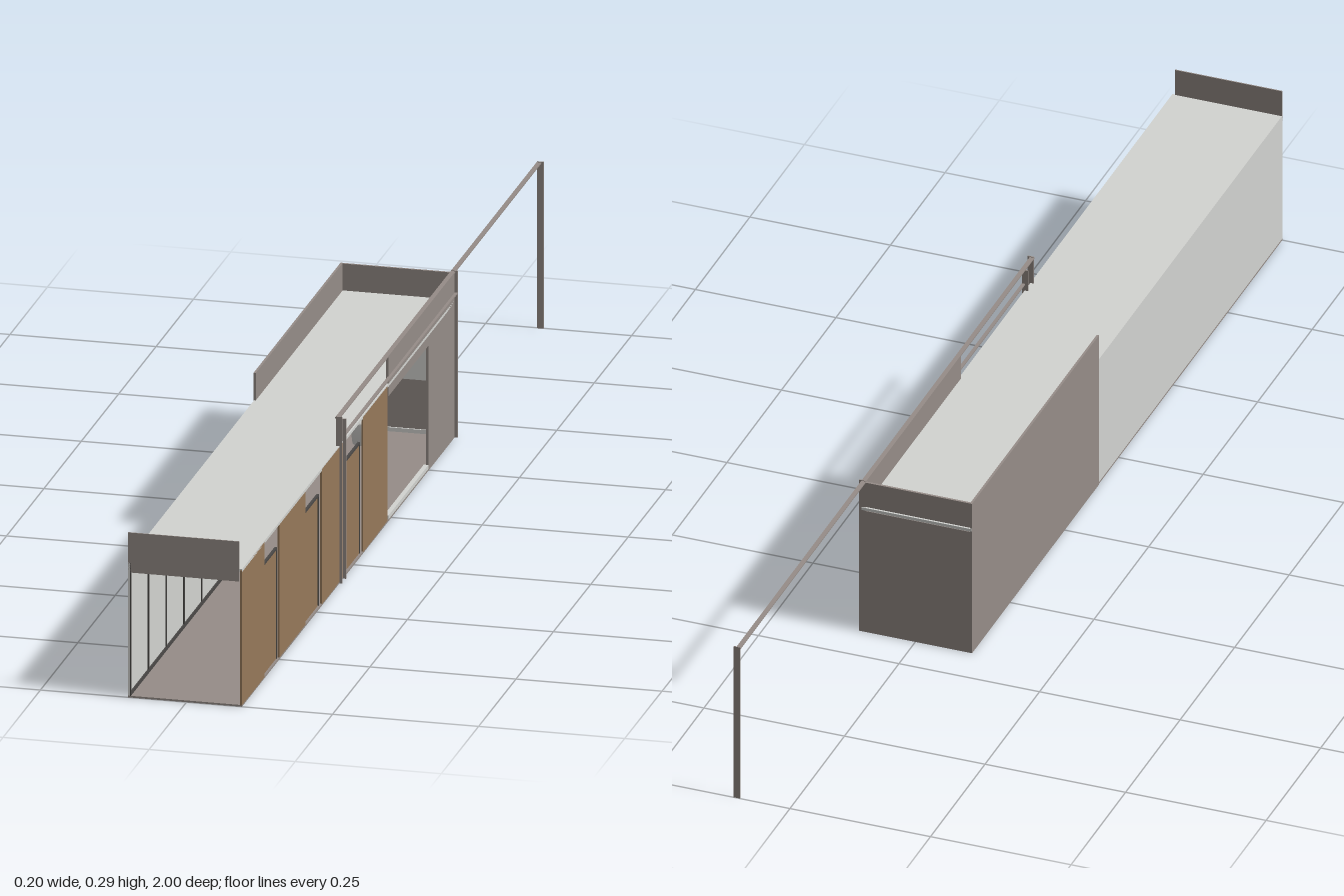
import * as THREE from 'three';

const mat = (name, hex, side = THREE.FrontSide) => {
  const m = new THREE.MeshStandardMaterial({ color: hex, side });
  m.name = name;
  return m;
};

export function createModel() {
  const root = new THREE.Group();
  root.name = 'longPavilion';
  const taupe = mat('taupe', 0x968d88);
  const wood = mat('wood', 0x97795a);
  const pale = mat('paleGrey', 0xd3d4d1);
  const dark = mat('darkFrame', 0x4c4a48);
  const white = mat('potWhite', 0xe2e1de);
  const green = mat('leafGreen', 0x222717, THREE.DoubleSide);
  const bark = mat('bark', 0x33281c);

  // box given by its limits on each axis
  const slab = (name, m, x0, x1, y0, y1, z0, z1, parent = root) => {
    const mesh = new THREE.Mesh(new THREE.BoxGeometry(x1 - x0, y1 - y0, z1 - z0), m);
    mesh.position.set((x0 + x1) / 2, (y0 + y1) / 2, (z0 + z1) / 2);
    mesh.name = name;
    parent.add(mesh);
    return mesh;
  };

  // floor and roof
  slab('floor', taupe, -0.1, 0.095, 0, 0.003, -0.425, 1);
  slab('roof', pale, -0.1, 0.095, 0.236, 0.241, -0.427, 0.999);

  // right side: long pale wall, then the tall wall of the rear room
  slab('paleWall', pale, -0.1, -0.097, 0.003, 0.236, 0.155, 1);
  slab('tallWall', taupe, -0.101, -0.097, 0, 0.289, -0.425, 0.157);

  // back wall and the raised panels at both ends
  slab('backWall', taupe, -0.1, 0.095, 0, 0.234, -0.425, -0.421);
  slab('backPanel', taupe, -0.1, 0.095, 0.242, 0.289, -0.425, -0.421);
  slab('frontPanel', taupe, -0.1, 0.09, 0.219, 0.289, 0.998, 1);

  // left side of the rear room: solid wall and lintel over the wide opening
  slab('sideWall', taupe, 0.091, 0.095, 0, 0.289, -0.425, -0.247);
  slab('lintel', taupe, 0.091, 0.095, 0.219, 0.289, -0.247, 0.02);
  slab('threshold', pale, 0.087, 0.095, 0.003, 0.01, -0.247, 0.02);

  // skirtings and the pale picture panel inside
  slab('backSkirting', pale, -0.097, 0.087, 0.003, 0.01, -0.421, -0.418);
  slab('sideSkirting', pale, -0.097, -0.094, 0.003, 0.01, -0.421, 0.155);
  slab('picturePanel', pale, -0.062, 0.052, 0.097, 0.185, -0.421, -0.418);

  // wooden wall panels
  const panels = [[0.85, 1], [0.575, 0.75], [0.3, 0.465], [0.027, 0.19]];
  for (const [a, b] of panels) slab('woodPanel', wood, 0.092, 0.095, 0.002, 0.239, a, b);

  // recessed doors with dark frames and inner handles
  const doors = [[0.755, 0.845], [0.475, 0.565], [0.2, 0.29]];
  for (const [a, b] of doors) {
    const door = new THREE.Group();
    door.name = 'door';
    root.add(door);
    slab('doorLeaf', wood, 0.089, 0.091, 0.003, 0.194, a + 0.003, b - 0.003, door);
    slab('doorHead', dark, 0.088, 0.092, 0.194, 0.198, a, b, door);
    for (const z of [a, b]) slab('doorJamb', dark, 0.088, 0.092, 0.003, 0.198, z - 0.0015, z + 0.0015, door);
    slab('doorHandle', dark, 0.084, 0.086, 0.08, 0.105, a + 0.01, a + 0.012, door);
  }

  // slim frame along the inside of the pale wall
  for (let i = 0; i <= 7; i++) {
    const z = 0.165 + i * 0.119;
    slab('mullion', dark, -0.097, -0.095, 0.003, 0.236, z - 0.002, z + 0.002);
  }
  slab('bottomRail', dark, -0.097, -0.095, 0.003, 0.01, 0.157, 0.998);
  for (const z of [0.47, 0.49]) slab('pullBar', dark, -0.096, -0.094, 0.07, 0.115, z, z + 0.002);

  // flat posts and the rails they carry
  for (const [z, top] of [[0.348, 0.292], [0.322, 0.28], [-0.424, 0.292], [-0.999, 0.292]]) {
    slab('post', taupe, 0.089, 0.1, 0, top, z - 0.001, z + 0.001);
  }
  slab('topRail', taupe, 0.088, 0.096, 0.289, 0.291, -1, 0.349);
  slab('lowerRail', taupe, 0.094, 0.1, 0.252, 0.254, -0.425, 0.322);

  // potted plant
  const plant = new THREE.Group();
  plant.name = 'pottedPlant';
  plant.position.set(-0.044, 0.003, -0.35);
  root.add(plant);
  const potProfile = [[0, 0], [0.017, 0], [0.021, 0.037], [0.023, 0.037], [0.023, 0.042], [0.02, 0.042], [0.019, 0.036], [0, 0.036]]
    .map(([r, y]) => new THREE.Vector2(r, y));
  const pot = new THREE.Mesh(new THREE.LatheGeometry(potProfile, 24), white);
  pot.name = 'pot';
  plant.add(pot);

  let seed = 7;
  const rnd = () => (seed = (seed * 16807) % 2147483647) / 2147483647;

  // pointed leaf bent along its middle
  const leafShape = new THREE.Shape();
  leafShape.moveTo(0, 0);
  leafShape.quadraticCurveTo(0.0048, 0.006, 0, 0.017);
  leafShape.quadraticCurveTo(-0.0048, 0.006, 0, 0);
  const leafGeo = new THREE.ShapeGeometry(leafShape, 3);
  const leaves = new THREE.Group();
  leaves.name = 'leaves';
  plant.add(leaves);
  const up = new THREE.Vector3(0, 1, 0);

  // stems fan out, each with drooping leaves
  const tips = [[0, 0.185, 0], [-0.032, 0.125, 0.01], [0.02, 0.14, -0.012], [-0.012, 0.165, -0.018],
    [0.012, 0.168, 0.016], [-0.022, 0.11, -0.02], [0.024, 0.105, 0.018]];
  for (const t of tips) {
    const curve = new THREE.QuadraticBezierCurve3(
      new THREE.Vector3(0.004, 0.036, 0),
      new THREE.Vector3(t[0] * 0.1, 0.036 + (t[1] - 0.036) * 0.5, t[2] * 0.1),
      new THREE.Vector3(...t));
    const stem = new THREE.Mesh(new THREE.TubeGeometry(curve, 8, 0.0012, 5), bark);
    stem.name = 'stem';
    plant.add(stem);
    for (let i = 0; i < 42; i++) {
      const p = curve.getPoint(0.38 + 0.62 * rnd());
      const a = rnd() * Math.PI * 2;
      const dir = new THREE.Vector3(Math.cos(a), rnd() * 1.3 - 0.8, Math.sin(a)).normalize();
      const leaf = new THREE.Mesh(leafGeo, green);
      leaf.name = 'leaf';
      leaf.position.copy(p).addScaledVector(dir, 0.009 * rnd());
      leaf.quaternion.setFromUnitVectors(up, dir);
      leaf.rotateY(rnd() * Math.PI);
      leaf.scale.setScalar(0.75 + 0.4 * rnd());
      leaves.add(leaf);
    }
  }
  return root;
}
